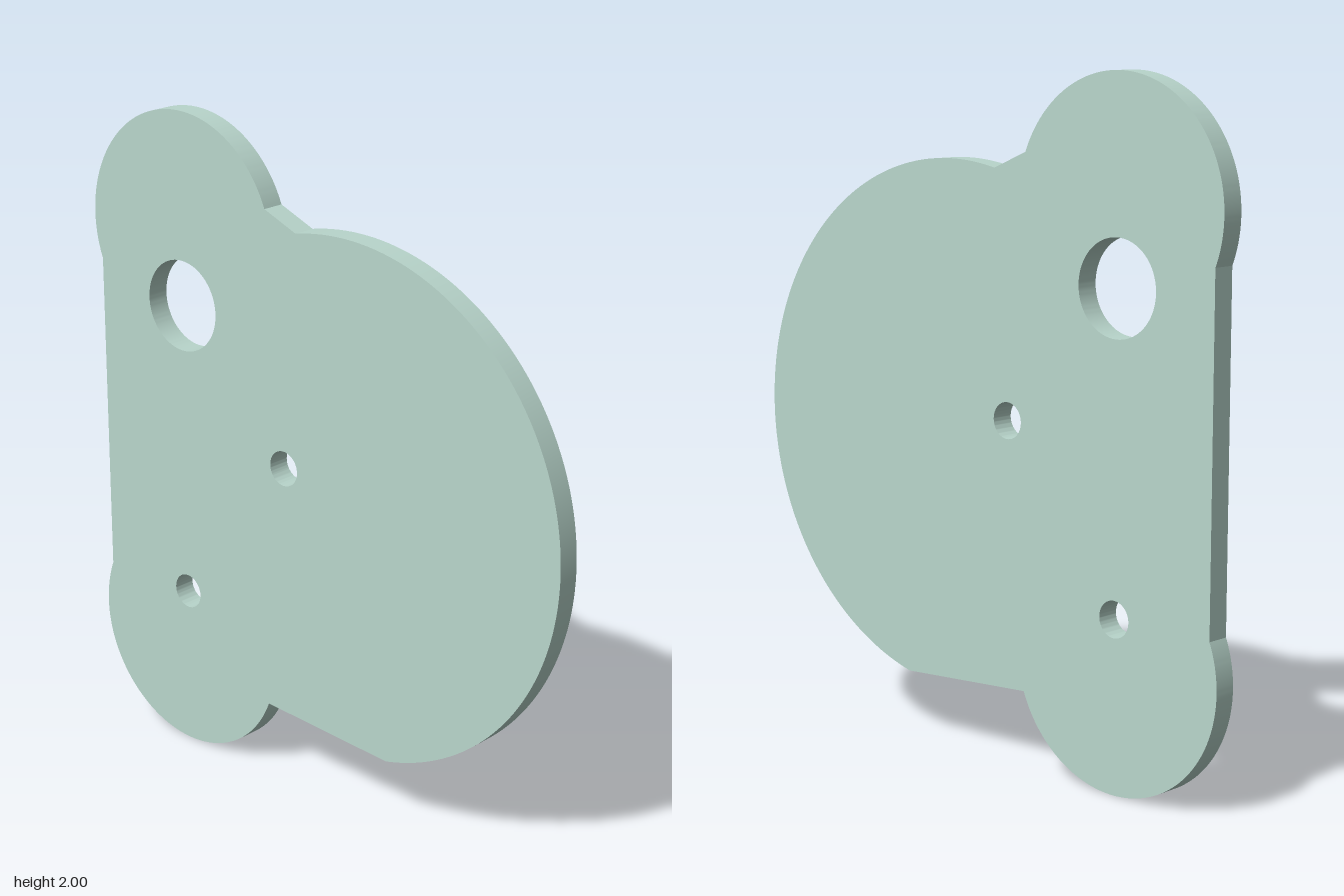
import * as THREE from 'three';
import { toCreasedNormals } from 'three/addons/utils/BufferGeometryUtils.js';

const THICKNESS = 0.07;

export function createModel() {
  const group = new THREE.Group();
  group.name = 'bracketPlate';

  // Outline drawn with u = -z across and y up; each arc runs counter-clockwise
  // between two end points, and straight edges join consecutive arcs.
  const outline = new THREE.Shape();
  const arc = (u, y, r, from, to) => outline.absarc(u, y, r,
    Math.atan2(from[1] - y, from[0] - u), Math.atan2(to[1] - y, to[0] - u), false);

  arc(0.52, 0.364, 0.364, [0.184, 0.233], [0.857, 0.501]);    // lower lobe
  arc(0.52, 1.636, 0.364, [0.857, 1.499], [0.184, 1.77]);     // upper lobe
  arc(-0.109, 0.961, 0.78, [0.063, 1.722], [-0.288, 0.201]);  // large rounded front
  outline.closePath();

  // Through holes: u, y, radius
  for (const [u, y, r] of [[0.52, 1.418, 0.138], [0.114, 1.01, 0.053], [0.52, 0.503, 0.053]]) {
    outline.holes.push(new THREE.Path().absarc(u, y, r, 0, Math.PI * 2, true));
  }

  const extruded = new THREE.ExtrudeGeometry(outline, {
    depth: THICKNESS, bevelEnabled: false, curveSegments: 64,
  });
  extruded.translate(0, 0, -THICKNESS / 2);
  extruded.rotateY(Math.PI / 2);

  const plate = new THREE.Mesh(
    toCreasedNormals(extruded, 0.2),
    new THREE.MeshStandardMaterial({ color: 0xb9d6cc }),
  );
  plate.name = 'plate';
  group.add(plate);
  return group;
}
